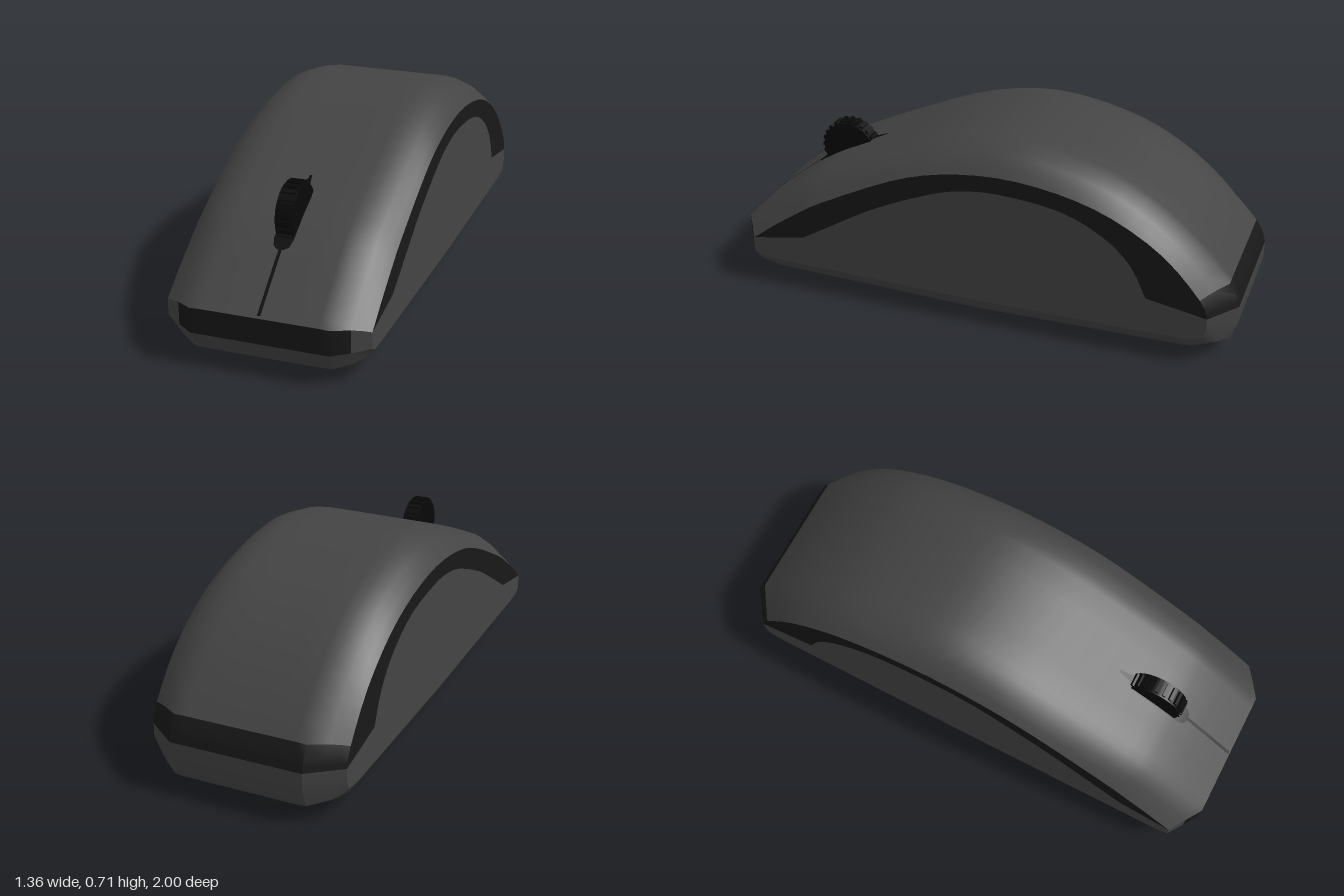
import * as THREE from 'three';
import { toCreasedNormals } from 'three/addons/utils/BufferGeometryUtils.js';

const HALF = 0.37;
const v2 = (list) => list.map(([a, b]) => new THREE.Vector2(a, b));
const spline = (list, n) => new THREE.SplineCurve(v2(list)).getPoints(n);

// Lengthwise outlines as (z, y): the crown along the middle and the rim of the side walls
const crown = spline([[.975, .215], [.87, .30], [.76, .385], [.643, .458], [.33, .60], [.115, .68],
  [-.11, .715], [-.33, .685], [-.55, .61], [-.76, .47], [-.94, .29], [-.98, .2]], 33);
const rim = spline([[.895, .19], [.80, .262], [.70, .33], [.60, .392], [.31, .535], [.11, .597],
  [-.11, .62], [-.33, .597], [-.53, .535], [-.72, .42], [-.86, .27], [-.89, .2]], 33);
const midLoop = [...v2([[.975, .12]]), ...crown,
  ...v2([[-.98, .13], [-.955, .06], [-.86, .015], [0, 0], [.85, .025], [.945, .055], [.975, .12]])];
const sideLoop = [...v2([[.895, .13]]), ...rim,
  ...v2([[-.89, .15], [-.87, .115], [-.8, .103], [0, .098], [.8, .11], [.87, .115], [.895, .13]])];
const TOP_END = crown.length; // loop index of the last crown point

// Stations across the width: x, and how far z, top y and bottom y have moved to the side outline
const half = [[.12, 0, 0, 0], [.21, 0, 0, 0], [.25, 0, .06, .04], [.31, .5, .33, .25],
  [.345, .79, .66, .55], [HALF, 1, 1, 1]];
const stations = [...half.map(([x, ...k]) => [-x, ...k]).reverse(), ...half];
const LAST = stations.length - 1;

// Surface patch of the shell between two stations and two loop indices
function patch(s0, s1, i0, i1) {
  const pos = [], index = [], row = i1 - i0 + 1;
  for (let s = s0; s <= s1; s++) {
    const [x, kz, kTop, kBottom] = stations[s];
    for (let i = i0; i <= i1; i++) {
      const a = midLoop[i], b = sideLoop[i];
      const k = i >= 1 && i <= TOP_END ? kTop : kBottom;
      pos.push(x, THREE.MathUtils.lerp(a.y, b.y, k), THREE.MathUtils.lerp(a.x, b.x, kz));
    }
  }
  for (let s = 0; s < s1 - s0; s++) {
    for (let i = 0; i < row - 1; i++) {
      const a = s * row + i, b = a + row;
      index.push(a, b, a + 1, b, b + 1, a + 1);
    }
  }
  const g = new THREE.BufferGeometry();
  g.setAttribute('position', new THREE.Float32BufferAttribute(pos, 3));
  g.setIndex(index);
  return toCreasedNormals(g, 0.6);
}

// Flat outline in (z, y) placed on one side wall, facing outward
function wall(points, side) {
  const shape = new THREE.Shape(points.map((p) => new THREE.Vector2(-side * p.x, p.y)));
  return new THREE.ShapeGeometry(shape).rotateY(side * Math.PI / 2).translate(side * HALF, 0, 0);
}

function crownHeight(z) {
  const i = Math.max(1, crown.findIndex((p) => p.x <= z));
  const a = crown[i - 1], b = crown[i];
  return a.y + (b.y - a.y) * (z - a.x) / (b.x - a.x);
}

// Thin strip lying on the crown; rows are (z, half width)
function strip(rows) {
  const pos = [], index = [];
  rows.forEach(([z, w], i) => {
    const y = crownHeight(z) + 0.004;
    pos.push(-w, y, z, w, y, z);
    const a = i * 2;
    if (i) index.push(a - 2, a - 1, a, a - 1, a + 1, a);
  });
  const g = new THREE.BufferGeometry();
  g.setAttribute('position', new THREE.Float32BufferAttribute(pos, 3));
  g.setIndex(index);
  g.computeVertexNormals();
  return g;
}

export function createModel() {
  const paint = (color) => new THREE.MeshStandardMaterial({ color });
  const grey = paint(0x444444), dark = paint(0x181818), black = paint(0x080808);
  const model = new THREE.Group();
  const mouse = new THREE.Group();
  mouse.name = 'mouse';
  mouse.rotation.y = 0.386;
  model.add(mouse);
  const add = (name, geometry, material, parent = mouse) => {
    const mesh = new THREE.Mesh(geometry, material);
    mesh.name = name;
    parent.add(mesh);
    return mesh;
  };

  // Shell
  add('topShell', patch(0, LAST, 1, TOP_END - 3), grey);
  add('backBand', patch(0, LAST, TOP_END - 3, TOP_END), dark);
  add('underside', patch(0, LAST, TOP_END, midLoop.length - 1), grey);
  add('frontBand', patch(2, LAST - 2, 0, 1), dark);
  add('frontCornerRight', patch(0, 2, 0, 1), grey);
  add('frontCornerLeft', patch(LAST - 2, LAST, 0, 1), grey);

  // Side walls: a dark arch around a grey panel
  const inner = spline([[.683, .228], [.53, .32], [.366, .415], [.15, .51], [.03, .543], [-.11, .555],
    [-.336, .53], [-.5, .457], [-.605, .36], [-.665, .24]], 27);
  for (const side of [-1, 1]) {
    const label = side > 0 ? 'Left' : 'Right';
    add('sideArch' + label, wall([...rim, ...[...inner].reverse()], side), dark);
    add('sidePanel' + label,
      wall([rim[0], ...inner, rim[rim.length - 1], ...sideLoop.slice(TOP_END + 1)], side), grey);
  }

  // Wheel opening with a pointed tail, and the seam between the buttons
  add('wheelSlot', strip([[.775, .012], [.765, .028], [.74, .036], [.65, .036], [.57, .036],
    [.54, .03], [.525, .012], [.48, .004]]), black);
  add('buttonSeam', strip([[.97, .006], [.92, .006], [.87, .006], [.82, .006], [.77, .006]]), black);

  // Scroll wheel with a ribbed tread
  const wheel = new THREE.Group();
  wheel.name = 'scrollWheel';
  wheel.position.set(0, .462, .637);
  mouse.add(wheel);
  add('wheelCore', new THREE.CylinderGeometry(.105, .105, .064, 32).rotateZ(Math.PI / 2), black, wheel);
  const ribs = 24;
  for (let i = 0; i < ribs; i++) {
    const rib = add('wheelRib', new THREE.BoxGeometry(.05, .02, .014).translate(0, .104, 0), black, wheel);
    rib.rotation.x = i / ribs * Math.PI * 2;
  }
  return model;
}
